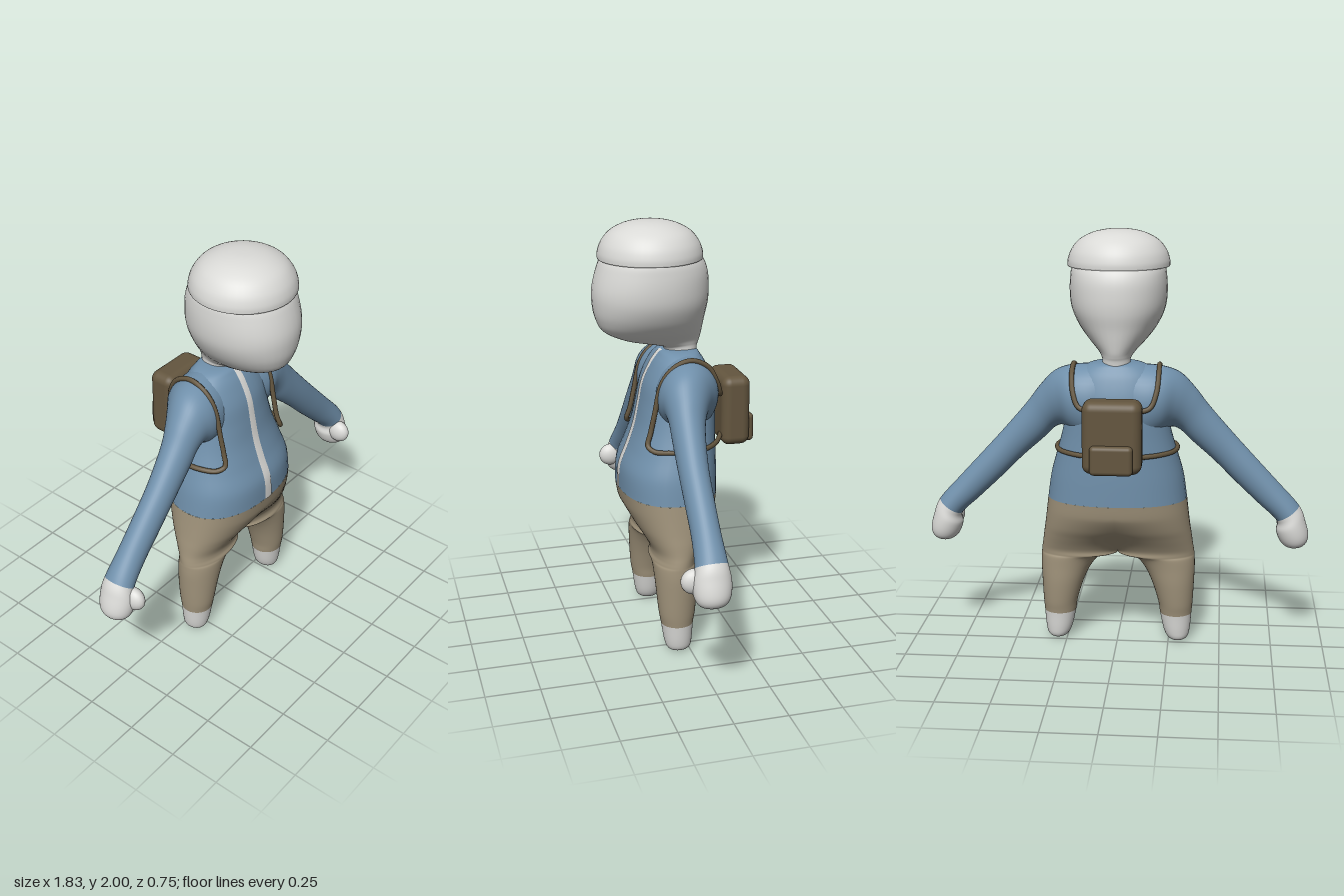
import * as THREE from 'three';
import { mergeVertices } from 'three/addons/utils/BufferGeometryUtils.js';
import { RoundedBoxGeometry } from 'three/addons/geometries/RoundedBoxGeometry.js';

const mat = (name, color, side = THREE.FrontSide) => {
  const m = new THREE.MeshStandardMaterial({ color, side });
  m.name = name;
  return m;
};

const SEG = 40;   // points round a ring
const STEPS = 6;  // rings between two table rows

// Catmull-Rom interpolation of a table of rows
function rowAt(rows, u) {
  const i = Math.min(Math.floor(u), rows.length - 2), t = u - i;
  const r = k => rows[Math.max(0, Math.min(rows.length - 1, k))];
  return rows[0].map((_, c) => {
    const a = r(i - 1)[c], b = r(i)[c], d = r(i + 1)[c], e = r(i + 2)[c];
    return b + 0.5 * t * (d - a + t * (2 * a - 5 * b + 4 * d - e + t * (3 * (b - d) + e - a)));
  });
}

// Smooth skin through rings made from the rows u0..u1; mirrored = both halves in one skin
function loft(rows, ring, { u0 = 0, u1 = rows.length - 1, mirrored = false } = {}) {
  const pos = [], idx = [];
  const n = Math.round((u1 - u0) * STEPS);
  for (const s of mirrored ? [1, -1] : [1]) {
    const base = pos.length / 3;
    let w = 0;
    for (let i = 0; i <= n; i++) {
      const pts = ring(rowAt(rows, u0 + (u1 - u0) * i / n));
      w = pts.length;
      for (const p of pts) pos.push(s * p[0], p[1], p[2]);
    }
    for (let i = 0; i < n; i++) for (let j = 0; j < w - 1; j++) {
      const a = base + i * w + j, b = a + 1, c = b + w, d = a + w;
      if (s > 0) idx.push(a, b, c, a, c, d);
      else idx.push(a, c, b, a, d, c);
    }
  }
  let g = new THREE.BufferGeometry();
  g.setAttribute('position', new THREE.Float32BufferAttribute(pos, 3));
  g.setIndex(idx);
  g = mergeVertices(g, 1e-5);
  g.computeVertexNormals();
  return g;
}

const around = fn => Array.from({ length: SEG + 1 }, (_, j) => fn((j % SEG) / SEG * 2 * Math.PI, j / SEG));
const sq = (v, p) => Math.sign(v) * Math.abs(v) ** (2 / p);
const SQUARE = 2.3;

// Level ring: [y, half width, front z, back z]
const levelRing = p => ([y, rx, zf, zb]) =>
  around(a => [rx * sq(Math.sin(a), p), y, (zf + zb) / 2 + (zf - zb) / 2 * sq(Math.cos(a), p)]);

// Arm ring: [upper x, upper y, lower x, lower y, front z, back z]
const armRing = ([ax, ay, bx, by, zf, zb]) => around(a => [
  (ax + bx) / 2 + (ax - bx) / 2 * Math.cos(a),
  (ay + by) / 2 + (ay - by) / 2 * Math.cos(a),
  (zf + zb) / 2 + (zf - zb) / 2 * Math.sin(a)]);

// Leg ring: [y, outer x, inner x, hip blend, front z, back z]; blend 1 is half of the hips
const legRing = ([y, out, inn, blend, zf, zb]) => {
  const w = Math.max(0, Math.min(1, blend)), inner = Math.max(0, inn);
  const cz = (zf + zb) / 2, b = (zf - zb) / 2, cx = (out + inner) / 2, r = (out - inner) / 2;
  return Array.from({ length: SEG + 1 }, (_, j) => {
    const h = Math.PI * j / SEG, f = 2 * h;
    const x = (1 - w) * (cx - r * Math.cos(f)) + w * out * sq(Math.sin(h), SQUARE);
    const z = (1 - w) * Math.sin(f) + w * sq(Math.cos(h), SQUARE);
    return [Math.abs(x) < 1e-6 ? 0 : x, y, cz + b * z];
  });
};

const TORSO = [
  [0.74, 0.333, 0.265, -0.19], [0.85, 0.317, 0.258, -0.19], [0.95, 0.29, 0.22, -0.188],
  [1.05, 0.262, 0.186, -0.187], [1.15, 0.24, 0.165, -0.187], [1.25, 0.225, 0.145, -0.175],
  [1.33, 0.2, 0.11, -0.15], [1.375, 0.16, 0.08, -0.125], [1.4, 0.1, 0.05, -0.1], [1.405, 0, -0.03, -0.03]];

const LEGS = [
  [0, 0.295, 0.295, 0, 0.05, 0.05], [0.004, 0.325, 0.265, 0, 0.088, 0.015],
  [0.02, 0.345, 0.243, 0, 0.108, -0.005], [0.06, 0.355, 0.225, 0, 0.12, -0.013],
  [0.14, 0.362, 0.208, 0, 0.132, -0.02], [0.2, 0.367, 0.198, 0, 0.142, -0.03],
  [0.3, 0.372, 0.167, 0, 0.15, -0.04], [0.38, 0.375, 0.128, 0, 0.155, -0.043],
  [0.43, 0.374, 0.08, 0, 0.158, -0.047], [0.447, 0.373, 0, 0, 0.16, -0.05],
  [0.47, 0.37, 0, 0.35, 0.162, -0.06], [0.5, 0.365, 0, 0.56, 0.172, -0.08],
  [0.55, 0.358, 0, 0.78, 0.203, -0.117], [0.6, 0.35, 0, 0.9, 0.23, -0.15],
  [0.67, 0.341, 0, 1, 0.253, -0.178], [0.74, 0.333, 0, 1, 0.265, -0.19]];
const ANKLE = 4;

const ARM = [
  [0, 1.395, 0, 1.0, 0.08, -0.15], [0.12, 1.392, 0.12, 1.02, 0.115, -0.175],
  [0.22, 1.38, 0.2, 1.06, 0.125, -0.16], [0.3, 1.345, 0.25, 1.09, 0.115, -0.11],
  [0.37, 1.27, 0.295, 1.075, 0.108, -0.07], [0.434, 1.185, 0.35, 1.02, 0.108, -0.045],
  [0.55, 1.05, 0.46, 0.92, 0.11, -0.025], [0.65, 0.94, 0.565, 0.815, 0.11, -0.02],
  [0.765, 0.815, 0.675, 0.71, 0.112, -0.018], [0.868, 0.7, 0.762, 0.627, 0.125, -0.022],
  [0.9, 0.625, 0.762, 0.575, 0.14, -0.033], [0.917, 0.55, 0.78, 0.525, 0.135, -0.025],
  [0.9, 0.507, 0.81, 0.497, 0.11, 0.0], [0.856, 0.487, 0.856, 0.487, 0.055, 0.055]];
const CUFF = 9;

const HEAD = [
  [1.36, 0.07, 0.04, -0.11], [1.41, 0.065, 0.045, -0.115], [1.43, 0.073, 0.11, -0.122],
  [1.455, 0.095, 0.23, -0.13], [1.5, 0.14, 0.325, -0.138], [1.56, 0.185, 0.36, -0.147],
  [1.63, 0.217, 0.373, -0.16], [1.7, 0.228, 0.372, -0.163], [1.78, 0.226, 0.352, -0.155],
  [1.84, 0.214, 0.325, -0.125], [1.9, 0.17, 0.27, -0.06], [1.94, 0, 0.1, 0.1]];

export function createModel() {
  const white = mat('white', 0xdadad7);
  const zipWhite = white;
  const blue = mat('jacketBlue', 0x7090ab);
  const tan = mat('trouserTan', 0xa0937b);
  const brown = mat('packBrown', 0x64563f);

  const model = new THREE.Group();
  model.name = 'figure';
  const add = (name, geo, material, x = 0, y = 0, z = 0) => {
    const m = new THREE.Mesh(geo, material);
    m.name = name;
    m.position.set(x, y, z);
    model.add(m);
    return m;
  };

  // Head and cap
  add('head', loft(HEAD, levelRing(2.1)), white);
  const dome = new THREE.SplineCurve([[0.24, 1.835], [0.238, 1.862], [0.222, 1.905], [0.185, 1.95],
    [0.125, 1.982], [0.06, 1.997], [0, 2]].map(p => new THREE.Vector2(...p)));
  add('cap', new THREE.LatheGeometry(dome.getPoints(24), 48), white, 0, 0, 0.105);
  const rim = new THREE.CylinderGeometry(0.24, 0.238, 0.006, 48);
  add('capRim', rim, white, 0, 1.833, 0.105);

  // Jacket, sleeves and hands
  add('jacket', loft(TORSO, levelRing(SQUARE)), blue);
  add('sleeves', loft(ARM, armRing, { u1: CUFF, mirrored: true }), blue);
  add('hands', loft(ARM, armRing, { u0: CUFF, mirrored: true }), white);
  for (const s of [1, -1]) {
    const thumb = add(s > 0 ? 'leftThumb' : 'rightThumb', new THREE.SphereGeometry(1, 24, 16), white, s * 0.807, 0.6, 0.125);
    thumb.scale.set(0.04, 0.058, 0.06);
  }

  // Zip strip following the jacket front
  add('zip', loft(TORSO, ([y, , zf]) => {
    const w = 0.024 - (y - 0.74) * 0.012;
    return [[-w, y, zf + 0.003], [0, y, zf + 0.005], [w, y, zf + 0.003]];
  }, { u1: 8 }), zipWhite);

  // Trousers and feet
  add('trousers', loft(LEGS, legRing, { u0: ANKLE, mirrored: true }), tan);
  add('feet', loft(LEGS, legRing, { u1: ANKLE, mirrored: true }), white);

  // Backpack with pocket
  add('backpack', new RoundedBoxGeometry(0.27, 0.335, 0.137, 5, 0.042), brown, 0, 1.103, -0.279);
  add('backpackPocket', new RoundedBoxGeometry(0.195, 0.135, 0.07, 5, 0.02), brown, 0, 1.008, -0.34);

  // Straps: round the waist, up the chest, over the shoulder and back to the pack
  const path = [[0.06, 0.985, -0.22], [0.13, 0.985, -0.19], [0.2, 0.985, -0.15], [0.26, 0.985, -0.085],
    [0.285, 0.985, 0], [0.275, 0.985, 0.085], [0.24, 0.985, 0.15], [0.21, 1.005, 0.173], [0.2, 1.06, 0.158],
    [0.2, 1.15, 0.138], [0.2, 1.285, 0.107], [0.2, 1.35, 0.062], [0.2, 1.385, 0], [0.2, 1.388, -0.05],
    [0.2, 1.355, -0.115], [0.192, 1.28, -0.158], [0.165, 1.215, -0.183], [0.12, 1.2, -0.195], [0.06, 1.2, -0.225]];
  for (const s of [1, -1]) {
    const curve = new THREE.CatmullRomCurve3(path.map(([x, y, z]) => new THREE.Vector3(s * x, y, z)));
    add(s > 0 ? 'leftStrap' : 'rightStrap', new THREE.TubeGeometry(curve, 110, 0.012, 8), brown);
  }
  return model;
}
